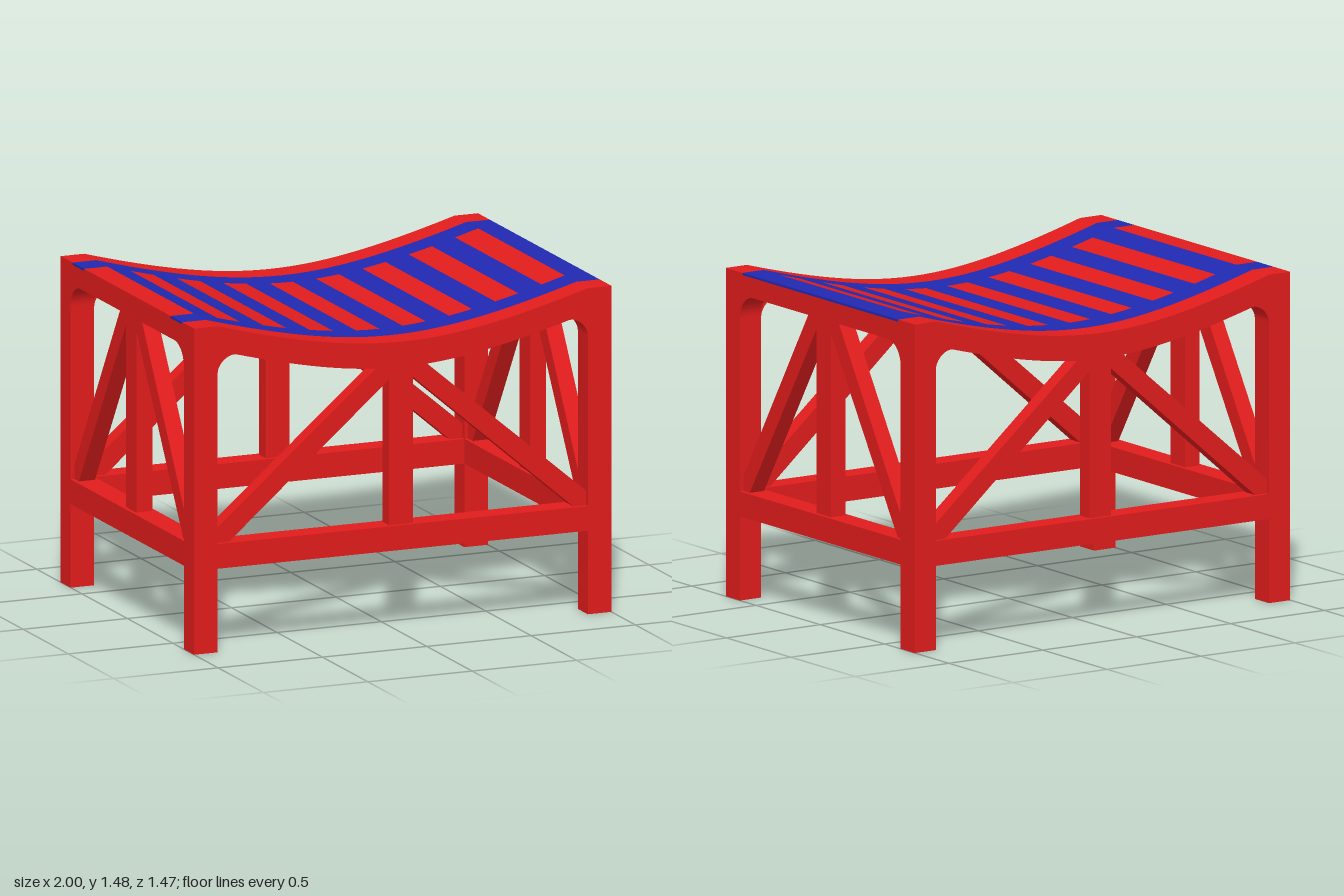
import * as THREE from 'three';
import { toCreasedNormals } from 'three/addons/utils/BufferGeometryUtils.js';

const red = new THREE.MeshStandardMaterial({ color: 0xe01c1c });
const blue = new THREE.MeshStandardMaterial({ color: 0x2029b0 });

const W = 1, D = 0.735, LEG = 0.113, LEG_Z = 0.11;
const IN_X = W - LEG, IN_Z = D - LEG_Z;
const TOP = 1.475, SKIN = 0.01;

// Dip of the saddle: 0 in the middle, 1 at the ends
const dip = (u) => (Math.sqrt(1 + 1.5 * u * u) - 1) / (Math.sqrt(2.5) - 1);
const topY = (x) => 1.32 + (TOP - 1.32) * dip(Math.min(1, Math.abs(x) / IN_X));
const underY = (x) => 1.205 + 0.135 * dip(x / 0.8);

// Flat piece cut from an outline, spanning z0..z1
function plate(name, shape, z0, z1, material = red) {
  const s = Array.isArray(shape) ? new THREE.Shape(shape.map(([x, y]) => new THREE.Vector2(x, y))) : shape;
  const geo = new THREE.ExtrudeGeometry(s, { depth: z1 - z0, bevelEnabled: false, curveSegments: 10 });
  geo.translate(0, 0, z0);
  const mesh = new THREE.Mesh(toCreasedNormals(geo, 0.5), material);
  mesh.name = name;
  return mesh;
}

function rect(x0, x1, y0, y1) {
  return [[x0, y0], [x1, y0], [x1, y1], [x0, y1]];
}

// Stretcher, centre post and two diagonal braces for one side
function addTruss(group, half, outer, inner, postTop, braceLow) {
  const b0 = inner + 0.018, b1 = outer - 0.018;
  group.add(plate('stretcher', rect(-half, half, 0.378, 0.49), inner, outer));
  group.add(plate('centrePost', rect(-0.057, 0.057, 0.49, postTop), b0, b1));
  for (const s of [1, -1]) {
    const outline = [
      [half, 0.49], [half, 0.555], [0.115, postTop], [0.055, postTop],
      [0.055, postTop - 0.06], [braceLow, 0.49],
    ].map(([x, y]) => [s * x, y]);
    group.add(plate('diagonalBrace', outline, b0, b1));
  }
}

// Long side: two legs joined by a curved top rail, cut in one piece
function longSide() {
  const group = new THREE.Group();
  const s = new THREE.Shape();
  const N = 32, k = 0.45;
  s.moveTo(-W, 0);
  s.lineTo(-IN_X, 0);
  s.lineTo(-IN_X, 1.26);
  s.bezierCurveTo(-IN_X, 1.26 + 0.08 * (1 - k), -0.8 - 0.085 * k, 1.345, -0.8, 1.34);
  for (let i = 1; i <= N; i++) {
    const x = -0.8 + (1.6 * i) / N;
    s.lineTo(x, underY(x));
  }
  s.bezierCurveTo(0.8 + 0.085 * k, 1.345, IN_X, 1.26 + 0.08 * (1 - k), IN_X, 1.26);
  s.lineTo(IN_X, 0);
  s.lineTo(W, 0);
  s.lineTo(W, TOP);
  for (let i = 0; i <= N; i++) {
    const x = IN_X - (2 * IN_X * i) / N;
    s.lineTo(x, topY(x));
  }
  s.lineTo(-W, TOP);
  s.closePath();
  group.add(plate('legsAndTopRail', s, IN_Z, D));
  addTruss(group, IN_X, D, IN_Z, 1.212, 0.825);
  return group;
}

// Short end: straight rail with rounded inner corners
function shortEnd() {
  const group = new THREE.Group();
  const r = 0.105, y = 1.375, top = TOP - SKIN;
  const s = new THREE.Shape();
  s.moveTo(-IN_Z, top);
  s.lineTo(-IN_Z, y - r);
  s.absarc(-IN_Z + r, y - r, r, Math.PI, Math.PI / 2, true);
  s.lineTo(IN_Z - r, y);
  s.absarc(IN_Z - r, y - r, r, Math.PI / 2, 0, true);
  s.lineTo(IN_Z, top);
  s.closePath();
  group.add(plate('endRail', s, IN_X, W));
  addTruss(group, IN_Z, W, IN_X, 1.376, 0.575);
  return group;
}

// Thin strip of the seat following the saddle curve
function seatStrip(name, x0, x1, z0, z1, material) {
  const xs = [];
  const n = Math.max(4, Math.round((x1 - x0) * 18));
  for (let i = 0; i <= n; i++) xs.push(x0 + ((x1 - x0) * i) / n);
  for (const e of [-IN_X, IN_X]) if (e > x0 + 0.01 && e < x1 - 0.01) xs.push(e);
  xs.sort((a, b) => a - b);
  const outline = [
    ...xs.map((x) => [x, topY(x) - SKIN]),
    ...xs.slice().reverse().map((x) => [x, topY(x)]),
  ];
  return plate(name, outline, z0, z1, material);
}

export function createModel() {
  const model = new THREE.Group();
  model.name = 'saddleStool';

  for (const [name, make, angle] of [
    ['frontFrame', longSide, 0],
    ['backFrame', longSide, Math.PI],
    ['leftEndFrame', shortEnd, Math.PI / 2],
    ['rightEndFrame', shortEnd, -Math.PI / 2],
  ]) {
    const frame = make();
    frame.name = name;
    frame.rotation.y = angle;
    model.add(frame);
  }

  // Seat: red slats alternating with blue gaps, framed by blue bands and red edges
  const seat = new THREE.Group();
  seat.name = 'seat';
  const BAND = 0.605, SLAT = 0.477, COUNT = 18, step = (2 * W) / COUNT;
  for (let i = 0; i < COUNT; i++) {
    const x = -W + i * step;
    seat.add(seatStrip(i % 2 ? 'blueSlat' : 'redSlat', x, x + step, -SLAT, SLAT, i % 2 ? blue : red));
  }
  for (const s of [1, -1]) {
    const span = (a, b) => (s > 0 ? [a, b] : [-b, -a]);
    seat.add(seatStrip('blueBand', -W, W, ...span(SLAT, BAND), blue));
    seat.add(seatStrip('redEdge', -W, W, ...span(BAND, IN_Z), red));
  }
  model.add(seat);
  return model;
}
